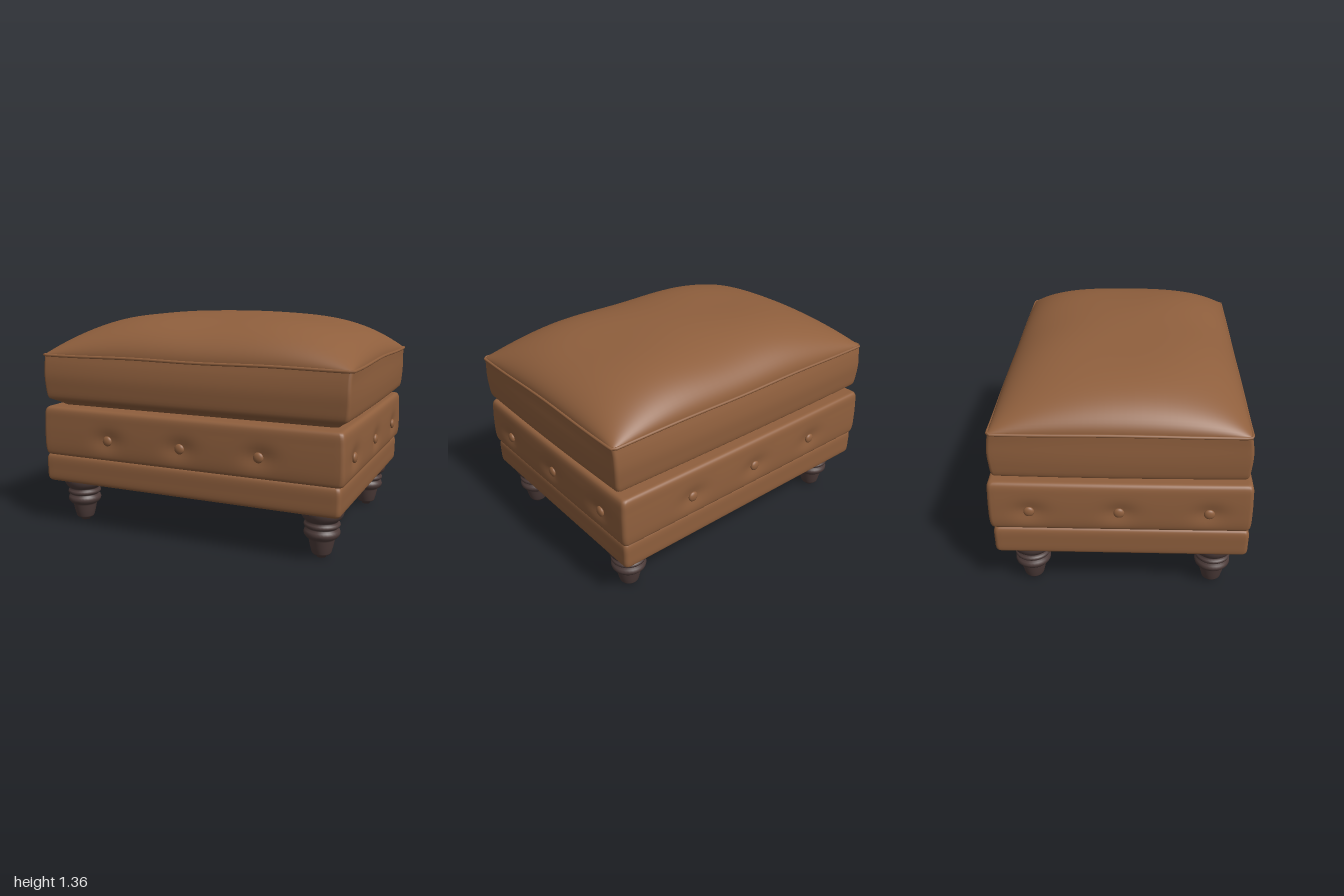
import * as THREE from 'three';

const leather = new THREE.MeshStandardMaterial({ color: 0x8f5f3d });
leather.name = 'brown leather';
const wood = new THREE.MeshStandardMaterial({ color: 0x4c3b39 });
wood.name = 'dark wood';

// Outline of a rectangle with small rounded corners, walked from +x towards +z
function outline(hx, hz, r, n) {
  const pts = [];
  const corners = [[1, 1], [-1, 1], [-1, -1], [1, -1]];
  corners.forEach(([sx, sz], k) => {
    const arc = [];
    for (let i = 0; i <= 4; i++) {
      const a = (k + i / 4) * Math.PI / 2;
      arc.push([sx * (hx - r) + r * Math.cos(a), sz * (hz - r) + r * Math.sin(a)]);
    }
    pts.push(...arc);
    const [nx, nz] = corners[(k + 1) % 4];
    const a = (k + 1) * Math.PI / 2;
    const end = [nx * (hx - r) + r * Math.cos(a), nz * (hz - r) + r * Math.sin(a)];
    for (let i = 1; i < n; i++) {
      const t = i / n;
      pts.push([arc[4][0] + (end[0] - arc[4][0]) * t, arc[4][1] + (end[1] - arc[4][1]) * t]);
    }
  });
  return pts;
}

// Upholstered block lofted through rows of [y, halfWidth, halfDepth], with button dents
function softBlock(name, rows, { radius = 0.025, bulge = 0, dents = [], steps = 24 } = {}) {
  const curve = new THREE.CatmullRomCurve3(rows.map(([y, hx, hz]) => new THREE.Vector3(hx, y, hz)));
  const pos = [], idx = [];
  let count = 0;
  for (let i = 0; i <= steps; i++) {
    const { x: hx, y, z: hz } = curve.getPoint(i / steps);
    const swell = bulge * Math.sin(Math.PI * i / steps);
    const ring = outline(hx, hz, radius, 56);
    count = ring.length;
    for (const [px, pz] of ring) {
      const u = px / hx, v = pz / hz;
      let x = px + Math.sign(px) * swell * (1 - v * v) * Math.abs(u) ** 8;
      let z = pz + Math.sign(pz) * swell * (1 - u * u) * Math.abs(v) ** 8;
      for (const d of dents) {
        const along = d.nx ? pz - d.z : px - d.x;
        const across = d.nx ? px - d.x : pz - d.z;
        if (Math.abs(across) > 0.1) continue;
        const push = 0.018 * Math.exp(-((along / 0.09) ** 2) - ((y - d.y) / 0.06) ** 2);
        x -= d.nx * push;
        z -= d.nz * push;
      }
      pos.push(x, y, z);
    }
  }
  for (let i = 0; i < steps; i++) for (let j = 0; j < count; j++) {
    const k = (j + 1) % count;
    const a = i * count + j, b = i * count + k;
    idx.push(a, a + count, b, b, a + count, b + count);
  }
  // flat bottom and top
  for (const top of [false, true]) {
    const from = top ? steps * count : 0;
    const base = pos.length / 3;
    pos.push(...pos.slice(from * 3, (from + count) * 3), 0, pos[from * 3 + 1], 0);
    for (let j = 0; j < count; j++) {
      const a = base + j, b = base + (j + 1) % count;
      idx.push(base + count, top ? b : a, top ? a : b);
    }
  }
  const geo = new THREE.BufferGeometry();
  geo.setAttribute('position', new THREE.Float32BufferAttribute(pos, 3));
  geo.setIndex(idx);
  geo.computeVertexNormals();
  const mesh = new THREE.Mesh(geo, leather);
  mesh.name = name;
  return mesh;
}

// Gentle unevenness of the stitched seam
const seamHeight = (x, z) => 1.098 + 0.005 * Math.sin(x * 7 + 1) * Math.cos(z * 6);

// Domed cushion top on a grid that gets finer towards its edges
function cushionTop() {
  const geo = new THREE.PlaneGeometry(2, 2, 56, 56).rotateX(-Math.PI / 2);
  const p = geo.attributes.position;
  const fall = (t) => Math.max(0, 1 - Math.abs(t) ** 3) ** 0.53;
  for (let i = 0; i < p.count; i++) {
    const u = Math.sin(p.getX(i) * Math.PI / 2), v = Math.sin(p.getZ(i) * Math.PI / 2);
    const x = u * 0.988, z = v * 0.7;
    p.setXYZ(i, x, seamHeight(x, z) + 0.255 * fall(u) * fall(v), z);
  }
  geo.computeVertexNormals();
  const mesh = new THREE.Mesh(geo, leather);
  mesh.name = 'cushionTop';
  return mesh;
}

export function createModel() {
  const model = new THREE.Group();
  model.name = 'footstool';

  // Button places on all four sides
  const buttons = [];
  for (const s of [1, -1]) {
    for (const x of [-0.505, -0.01, 0.485]) buttons.push({ x, y: 0.593, z: s * 0.745, nx: 0, nz: s });
    for (const z of [-0.51, -0.005, 0.5]) buttons.push({ x: s * 0.978, y: 0.59, z, nx: s, nz: 0 });
  }

  // Lower rail
  const rail = softBlock('lowerRail', [
    [0.295, 0.95, 0.712], [0.31, 0.962, 0.725], [0.38, 0.966, 0.729],
    [0.445, 0.965, 0.728], [0.465, 0.957, 0.72], [0.475, 0.935, 0.7],
  ]);
  rail.position.set(-0.014, 0, 0.006);

  // Buttoned band
  const band = softBlock('buttonedBand', [
    [0.465, 0.945, 0.715], [0.475, 0.965, 0.733], [0.51, 0.974, 0.74], [0.6, 0.976, 0.742],
    [0.69, 0.974, 0.74], [0.755, 0.968, 0.736], [0.773, 0.955, 0.724], [0.776, 0.92, 0.69],
  ], { bulge: 0.006, dents: buttons, steps: 32 });
  band.position.x = -0.006;

  // Cushion body with a tucked-in underside
  const cushion = softBlock('cushionBody', [
    [0.77, 0.89, 0.61], [0.8, 0.93, 0.655], [0.817, 0.955, 0.69], [0.83, 0.972, 0.703],
    [0.9, 0.982, 0.712], [0.97, 0.985, 0.716], [1.04, 0.985, 0.71], [1.095, 0.988, 0.7],
  ], { radius: 0.02, bulge: 0.01, steps: 28 });
  model.add(rail, band, cushion, cushionTop());

  // Seam piping around the cushion
  const path = outline(0.99, 0.701, 0.02, 16).map(([x, z]) => new THREE.Vector3(x, seamHeight(x, z), z));
  const piping = new THREE.Mesh(
    new THREE.TubeGeometry(new THREE.CatmullRomCurve3(path, true), 240, 0.009, 8, true), leather);
  piping.name = 'seamPiping';
  model.add(piping);

  // Buttons
  const buttonGeo = new THREE.SphereGeometry(0.031, 20, 12);
  buttons.forEach((b) => {
    const m = new THREE.Mesh(buttonGeo, leather);
    m.name = 'button';
    m.position.set(b.x - b.nx * 0.008 - 0.006, b.y, b.z - b.nz * 0.008);
    m.scale.set(b.nx ? 0.5 : 1, 1, b.nz ? 0.5 : 1);
    model.add(m);
  });

  // Turned legs
  const profile = [
    [0, 0], [0.027, 0], [0.03, 0.02], [0.052, 0.021], [0.058, 0.03], [0.068, 0.07], [0.076, 0.108],
    [0.078, 0.118], [0.092, 0.124], [0.103, 0.138], [0.106, 0.152], [0.101, 0.166], [0.09, 0.175],
    [0.092, 0.182], [0.102, 0.188], [0.106, 0.198], [0.102, 0.208], [0.09, 0.215],
    [0.096, 0.224], [0.112, 0.238], [0.122, 0.256], [0.126, 0.275], [0.126, 0.3],
  ].map(([r, y]) => new THREE.Vector2(r, y));
  const legGeo = new THREE.LatheGeometry(profile, 32);
  for (const x of [-0.825, 0.8]) for (const z of [-0.53, 0.55]) {
    const leg = new THREE.Mesh(legGeo, wood);
    leg.name = 'turnedLeg';
    leg.position.set(x, 0, z);
    model.add(leg);
  }
  return model;
}
